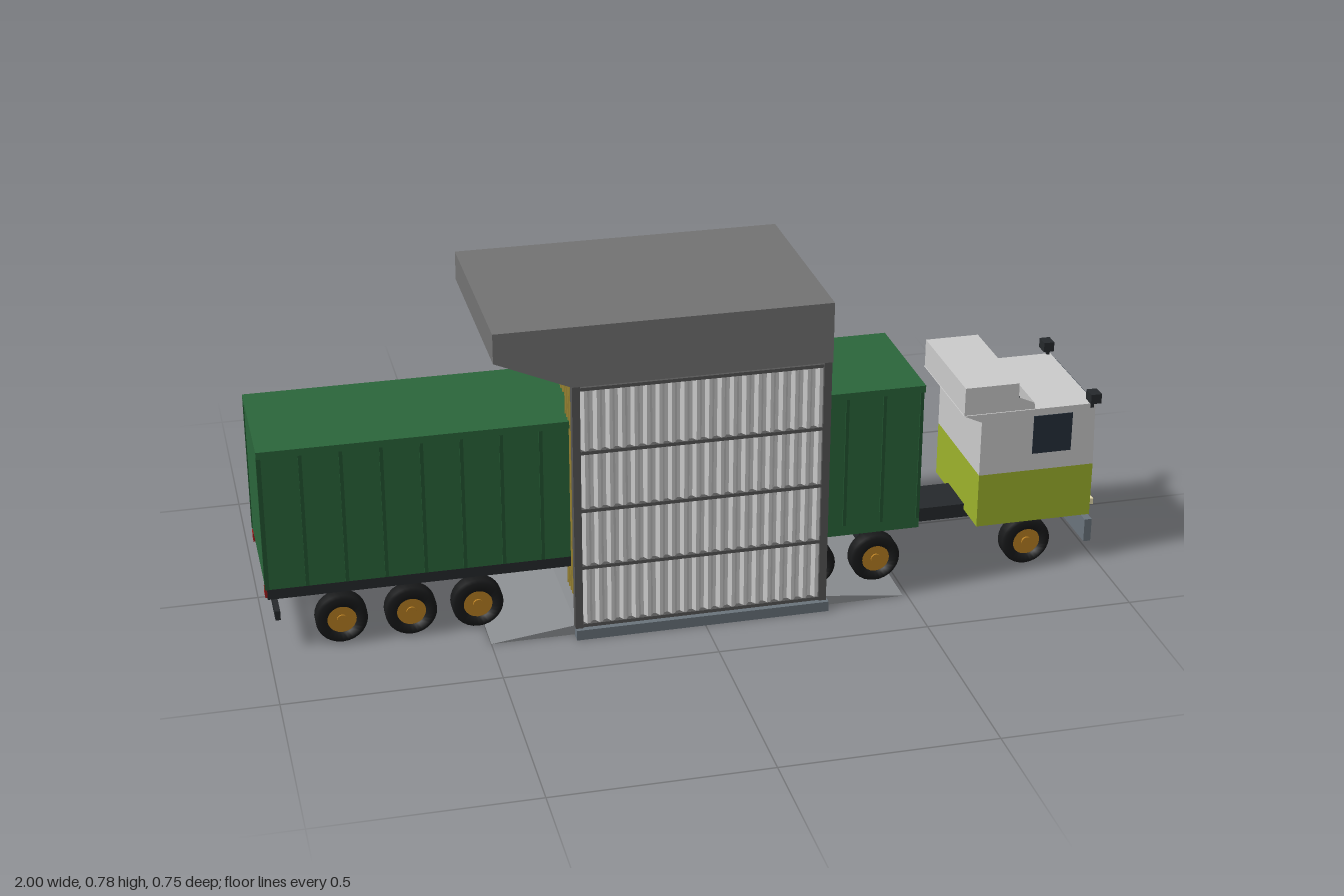
import * as THREE from 'three';

const mat = (color, extra = {}) => new THREE.MeshStandardMaterial({ color, ...extra });
const M = {
  grey: mat(0xcccccc), sheet: mat(0xcccccc, { side: THREE.DoubleSide, flatShading: true }),
  roof: mat(0x737373), frame: mat(0x565656), ramp: mat(0x8c8f92), steel: mat(0x6a747c),
  brush: mat(0x9c8634, { side: THREE.DoubleSide, flatShading: true }), green: mat(0x2b663b),
  rib: mat(0x235531), lime: mat(0x9db32c), glass: mat(0x25303b), dark: mat(0x26292c),
  tyre: mat(0x18191a), hub: mat(0xb87f22), cream: mat(0xe6dcae), red: mat(0x9c1c1c),
  tank: mat(0xa9b8c0), wood: mat(0xa88a5c), hoop: mat(0x5d4a30), blue: mat(0x2f6fa8),
};
const ZC = 0.115; // centre line of the truck lane

function mesh(parent, name, geo, m, x = 0, y = 0, z = 0) {
  const o = new THREE.Mesh(geo, m);
  o.name = name;
  o.position.set(x, y, z);
  parent.add(o);
  return o;
}
function box(parent, name, x0, x1, y0, y1, z0, z1, m) {
  return mesh(parent, name, new THREE.BoxGeometry(x1 - x0, y1 - y0, z1 - z0), m,
    (x0 + x1) / 2, (y0 + y1) / 2, (z0 + z1) / 2);
}
// Side profile in x,y swept from z0 to z1
function sweep(parent, name, pts, z0, z1, m) {
  const shape = new THREE.Shape(pts.map(p => new THREE.Vector2(...p)));
  return mesh(parent, name, new THREE.ExtrudeGeometry(shape, { depth: z1 - z0, bevelEnabled: false }), m, 0, 0, z0);
}
// Upright sheet with trapezoid ribs
function corrugated(length, height, waves, depth) {
  const g = new THREE.PlaneGeometry(length, height, waves * 4, 1);
  const p = g.attributes.position, row = waves * 4 + 1;
  for (let i = 0; i < p.count; i++) p.setZ(i, ((i % row) % 4 < 2 ? -0.5 : 0.5) * depth);
  g.computeVertexNormals();
  return g;
}
function cylinder(parent, name, r, h, x, y, z, m, seg = 24) {
  return mesh(parent, name, new THREE.CylinderGeometry(r, r, h, seg), m, x, y + h / 2, z);
}
function pipe(parent, name, pts, r, m) {
  const path = new THREE.CurvePath();
  const v = pts.map(p => new THREE.Vector3(...p));
  for (let i = 1; i < v.length; i++) path.add(new THREE.LineCurve3(v[i - 1], v[i]));
  mesh(parent, name, new THREE.TubeGeometry(path, v.length * 8, r, 8), m);
}
function group(parent, name) {
  const g = new THREE.Group();
  g.name = name;
  parent.add(g);
  return g;
}

function buildGate(root) {
  const g = group(root, 'washBay');
  // Floor with approach ramps and kerbs
  sweep(g, 'ramps', [[-0.5, 0], [0.49, 0], [0.3, 0.024], [-0.3, 0.024]], -0.125, 0.345, M.ramp);
  box(g, 'floorUnderside', -0.3, 0.295, 0, 0.022, -0.125, 0.355, M.steel);
  for (const [a, b] of [[-0.145, -0.118], [0.348, 0.375]]) box(g, 'kerb', -0.305, 0.297, 0, 0.025, a, b, M.steel);
  // Canopy with overhang at the exit
  sweep(g, 'canopy', [[-0.48, 0.71], [-0.305, 0.635], [0.295, 0.635], [0.295, 0.78], [-0.48, 0.78]], -0.137, 0.365, M.roof);
  // Side walls: posts, rails and ribbed sheet
  for (const s of [-1, 1]) {
    const z = ZC + s * 0.24;
    for (const x of [-0.298, 0.283]) box(g, 'post', x - 0.008, x + 0.01, 0.025, 0.635, z - 0.01, z + 0.01, M.frame);
    for (const y of [0.03, 0.18, 0.325, 0.47, 0.627])
      box(g, 'wallRail', -0.295, 0.285, y - 0.004, y + 0.004, z - 0.008, z + 0.008, M.frame);
    mesh(g, 'wallSheet', corrugated(0.572, 0.6, 20, 0.011), M.sheet, -0.006, 0.33, z);
  }
  // Brush curtains at both ends with a gap for the vehicle
  for (const x of [-0.293, 0.275]) {
    const curtain = (z0, z1, y0, y1, n) => {
      const c = mesh(g, 'brushCurtain', corrugated(z1 - z0, y1 - y0, n, 0.008), M.brush, x, (y0 + y1) / 2, (z0 + z1) / 2);
      c.rotation.y = Math.PI / 2;
    };
    curtain(0.23, 0.345, 0.075, 0.635, 6);
    curtain(-0.115, 0, 0.075, 0.635, 6);
    curtain(0, 0.23, 0.555, 0.635, 11);
    box(g, 'curtainRail', x - 0.006, x + 0.006, 0.618, 0.626, -0.115, 0.345, M.frame);
  }
}

function buildShed(root) {
  const g = group(root, 'plantShed');
  const slope = Math.atan2(0.042, 0.235);
  // Lean-to roof on purlins
  const roof = mesh(g, 'shedRoof', corrugated(0.597, 0.24, 20, 0.008), M.sheet, -0.004, 0.358, -0.256);
  roof.rotation.x = -Math.PI / 2 - slope;
  for (const t of [0.02, 0.35, 0.67, 0.97]) {
    const z = -0.137 - t * 0.235, y = 0.368 - t * 0.042;
    box(g, 'purlin', -0.295, 0.288, y - 0.005, y + 0.004, z - 0.004, z + 0.004, M.frame);
  }
  for (const x of [-0.293, -0.1, 0.095, 0.284]) {
    const r = box(g, 'rafter', x - 0.005, x + 0.005, 0.346, 0.356, -0.373, -0.139, M.frame);
    r.rotation.x = -slope;
  }
  // End walls, gables and posts; the back stays open
  for (const x of [-0.296, 0.289]) {
    mesh(g, 'endSheet', corrugated(0.23, 0.292, 8, 0.011), M.sheet, x, 0.174, -0.253).rotation.y = Math.PI / 2;
    const gable = new THREE.Shape([[0.137, 0.32], [0.37, 0.32], [0.37, 0.332], [0.137, 0.374]].map(p => new THREE.Vector2(...p)));
    mesh(g, 'gable', new THREE.ShapeGeometry(gable), M.sheet, x, 0, 0).rotation.y = Math.PI / 2;
    box(g, 'shedPost', x - 0.005, x + 0.005, 0.025, 0.333, -0.372, -0.362, M.frame);
    box(g, 'endRail', x - 0.004, x + 0.004, 0.315, 0.323, -0.37, -0.137, M.frame);
  }
  // Water plant
  cylinder(g, 'waterTank', 0.037, 0.12, 0.13, 0.006, -0.322, M.tank);
  cylinder(g, 'tankLid', 0.03, 0.006, 0.13, 0.126, -0.322, M.grey);
  cylinder(g, 'filterTank', 0.025, 0.1, 0.1, 0.005, -0.205, M.grey);
  mesh(g, 'filterDome', new THREE.SphereGeometry(0.025, 20, 8, 0, Math.PI * 2, 0, Math.PI / 2), M.grey, 0.1, 0.105, -0.205).scale.y = 0.6;
  const prof = [[0, 0], [0.037, 0], [0.044, 0.05], [0.047, 0.095], [0.044, 0.14], [0.037, 0.19], [0, 0.19]];
  mesh(g, 'barrel', new THREE.LatheGeometry(prof.map(p => new THREE.Vector2(...p)), 20), M.wood, -0.18, 0.004, -0.285);
  for (const [y, r] of [[0.018, 0.040], [0.06, 0.0455], [0.13, 0.0455], [0.172, 0.040]])
    mesh(g, 'barrelHoop', new THREE.TorusGeometry(r, 0.002, 6, 24), M.hoop, -0.18, y + 0.004, -0.285).rotation.x = Math.PI / 2;
  for (const x of [-0.065, 0.0]) {
    box(g, 'pumpBase', x - 0.024, x + 0.024, 0.004, 0.018, -0.25, -0.2, M.dark);
    cylinder(g, 'pumpMotor', 0.016, 0.05, x, 0.018, -0.225, M.blue, 16);
    mesh(g, 'pumpHousing', new THREE.CylinderGeometry(0.019, 0.019, 0.022, 16), M.blue, x, 0.03, -0.225).rotation.x = Math.PI / 2;
  }
  pipe(g, 'supplyPipe', [[0.13, 0.016, -0.3], [0.13, 0.016, -0.15], [0.04, 0.016, -0.15], [0.0, 0.03, -0.225], [-0.18, 0.03, -0.225], [-0.18, 0.03, -0.27]], 0.004, M.steel);
  pipe(g, 'pressurePipe', [[-0.065, 0.06, -0.2], [-0.065, 0.16, -0.165], [0.18, 0.16, -0.165], [0.18, 0.02, -0.165]], 0.004, M.steel);
  pipe(g, 'filterPipe', [[0.1, 0.11, -0.205], [0.1, 0.14, -0.205], [0.0, 0.14, -0.205], [0.0, 0.06, -0.225]], 0.004, M.steel);
}

function buildWheel(parent, x, side, wide) {
  const w = group(parent, 'wheel');
  const s = 0.06, r = wide / 2;
  const prof = [[0.034, -r], [s - 0.006, -r], [s, -r + 0.006], [s, r - 0.006], [s - 0.006, r], [0.034, r], [0.034, -r]];
  mesh(w, 'tyre', new THREE.LatheGeometry(prof.map(p => new THREE.Vector2(...p)), 28), M.tyre).rotation.x = Math.PI / 2;
  mesh(w, 'rim', new THREE.CylinderGeometry(0.034, 0.034, wide - 0.008, 20), M.hub).rotation.x = Math.PI / 2;
  mesh(w, 'hub', new THREE.CylinderGeometry(0.012, 0.012, wide + 0.002, 12), M.hub).rotation.x = Math.PI / 2;
  w.position.set(x, 0.064, ZC + side * (0.152 - r));
}

function buildTruck(root) {
  const trailer = group(root, 'trailer');
  // Cargo body with side ribs and a capping
  box(trailer, 'cargoBody', -0.998, 0.548, 0.163, 0.495, ZC - 0.154, ZC + 0.154, M.green);
  box(trailer, 'cargoNose', 0.2, 0.548, 0.138, 0.165, ZC - 0.154, ZC + 0.154, M.green);
  box(trailer, 'cargoRoof', -1, 0.55, 0.493, 0.51, ZC - 0.159, ZC + 0.159, M.green);
  for (const s of [-1, 1]) {
    const z = ZC + s * 0.155;
    for (let i = 0; i <= 17; i++) {
      const x = -0.994 + i * 0.0904;
      box(trailer, 'sideRib', x - 0.004, x + 0.004, 0.165, 0.495, z - 0.003, z + 0.003, M.rib);
    }
    box(trailer, 'tailLight', -1, -0.99, 0.143, 0.163, ZC + s * 0.14 - 0.013, ZC + s * 0.14 + 0.013, M.red);
    box(trailer, 'rearDoorFrame', -1, -0.99, 0.165, 0.495, z - 0.008, z + 0.003, M.rib);
    box(trailer, 'chassisRail', -0.97, 0.4, 0.1, 0.14, ZC + s * 0.06 - 0.012, ZC + s * 0.06 + 0.012, M.dark);
    box(trailer, 'bumperArm', -0.98, -0.968, 0.08, 0.14, ZC + s * 0.06 - 0.006, ZC + s * 0.06 + 0.006, M.dark);
  }
  box(trailer, 'trailerDeck', -0.995, 0.2, 0.138, 0.163, ZC - 0.154, ZC + 0.154, M.dark);
  box(trailer, 'rearBumper', -0.98, -0.968, 0.075, 0.098, ZC - 0.14, ZC + 0.14, M.dark);

  const tractor = group(root, 'tractor');
  box(tractor, 'tractorChassis', 0.2, 0.98, 0.1, 0.135, ZC - 0.058, ZC + 0.058, M.dark);
  // Cab: lower body, upper body and roof fairing
  const z0 = ZC - 0.151, z1 = ZC + 0.151;
  box(tractor, 'cabLower', 0.695, 0.982, 0.12, 0.256, z0, z1, M.lime);
  sweep(tractor, 'cabUpper', [[0.695, 0.256], [0.982, 0.256], [0.978, 0.416], [0.65, 0.416], [0.695, 0.395]], z0, z1, M.grey);
  sweep(tractor, 'roofFairing', [[0.652, 0.415], [0.828, 0.415], [0.825, 0.432], [0.785, 0.45], [0.785, 0.486], [0.652, 0.486]], z0 + 0.003, z1 - 0.003, M.grey);
  box(tractor, 'fairingStrip', 0.784, 0.788, 0.434, 0.45, z0 + 0.003, z1 - 0.003, M.dark);
  box(tractor, 'windscreen', 0.974, 0.985, 0.284, 0.409, ZC - 0.133, ZC + 0.133, M.glass);
  box(tractor, 'grille', 0.98, 0.993, 0.136, 0.22, ZC - 0.102, ZC + 0.102, M.steel);
  box(tractor, 'frontBumper', 0.972, 0.99, 0.047, 0.106, ZC - 0.152, ZC + 0.152, M.steel);
  for (const s of [-1, 1]) {
    const side = ZC + s * 0.151;
    box(tractor, 'sideWindow', 0.825, 0.922, 0.3, 0.398, side - 0.002, side + 0.002, M.glass);
    box(tractor, 'headlight', 0.98, 1, 0.134, 0.149, ZC + s * 0.104 - 0.025, ZC + s * 0.104 + 0.025, M.cream);
    box(tractor, 'mirror', 0.957, 0.983, 0.425, 0.449, ZC + s * 0.157 - 0.017, ZC + s * 0.157 + 0.017, M.dark);
    box(tractor, 'mirrorArm', 0.966, 0.974, 0.405, 0.43, ZC + s * 0.148 - 0.004, ZC + s * 0.148 + 0.004, M.dark);
    box(tractor, 'bumperBracket', 0.93, 0.98, 0.09, 0.125, ZC + s * 0.05 - 0.008, ZC + s * 0.05 + 0.008, M.dark);
  }
  // Axles and wheels
  for (const x of [-0.83, -0.67, -0.515, 0.285, 0.445, 0.825]) {
    mesh(root, 'axle', new THREE.CylinderGeometry(0.011, 0.011, 0.25, 12), M.dark, x, 0.064, ZC).rotation.x = Math.PI / 2;
    box(root, 'axleMount', x - 0.015, x + 0.015, 0.06, 0.105, ZC - 0.06, ZC + 0.06, M.dark);
    for (const s of [-1, 1]) buildWheel(root, x, s, 0.042);
  }
}

export function createModel() {
  const root = new THREE.Group();
  root.name = 'truckWash';
  buildGate(root);
  buildShed(root);
  buildTruck(group(root, 'truck'));
  return root;
}
